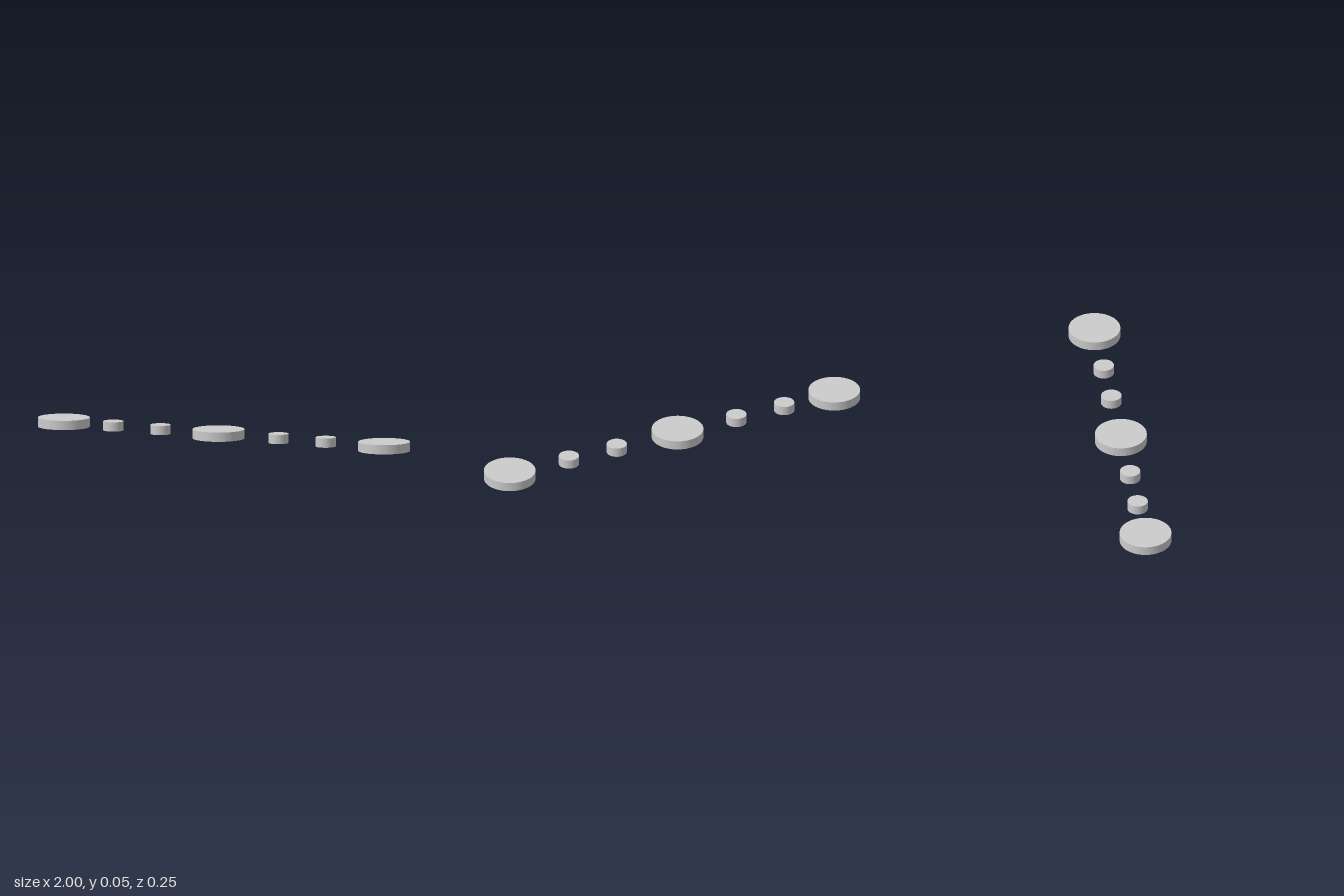
import * as THREE from 'three';

const HEIGHT = 0.045;

export function createModel() {
  const model = new THREE.Group();
  model.name = 'discRow';
  const material = new THREE.MeshStandardMaterial({ color: 0xcccccc });

  // Solid discs of one radius, standing on the ground along x
  function addDiscs(name, radius, positions) {
    const geometry = new THREE.CylinderGeometry(radius, radius, HEIGHT, 64);
    positions.forEach((x, i) => {
      const disc = new THREE.Mesh(geometry, material);
      disc.name = name + (i + 1);
      disc.position.set(x, HEIGHT / 2, 0);
      model.add(disc);
    });
  }

  // Three large discs with two small ones in each gap
  addDiscs('largeDisc', 0.125, [-0.875, -0.03, 0.875]);
  addDiscs('smallDisc', 0.049, [-0.605, -0.347, 0.298, 0.556]);

  return model;
}
